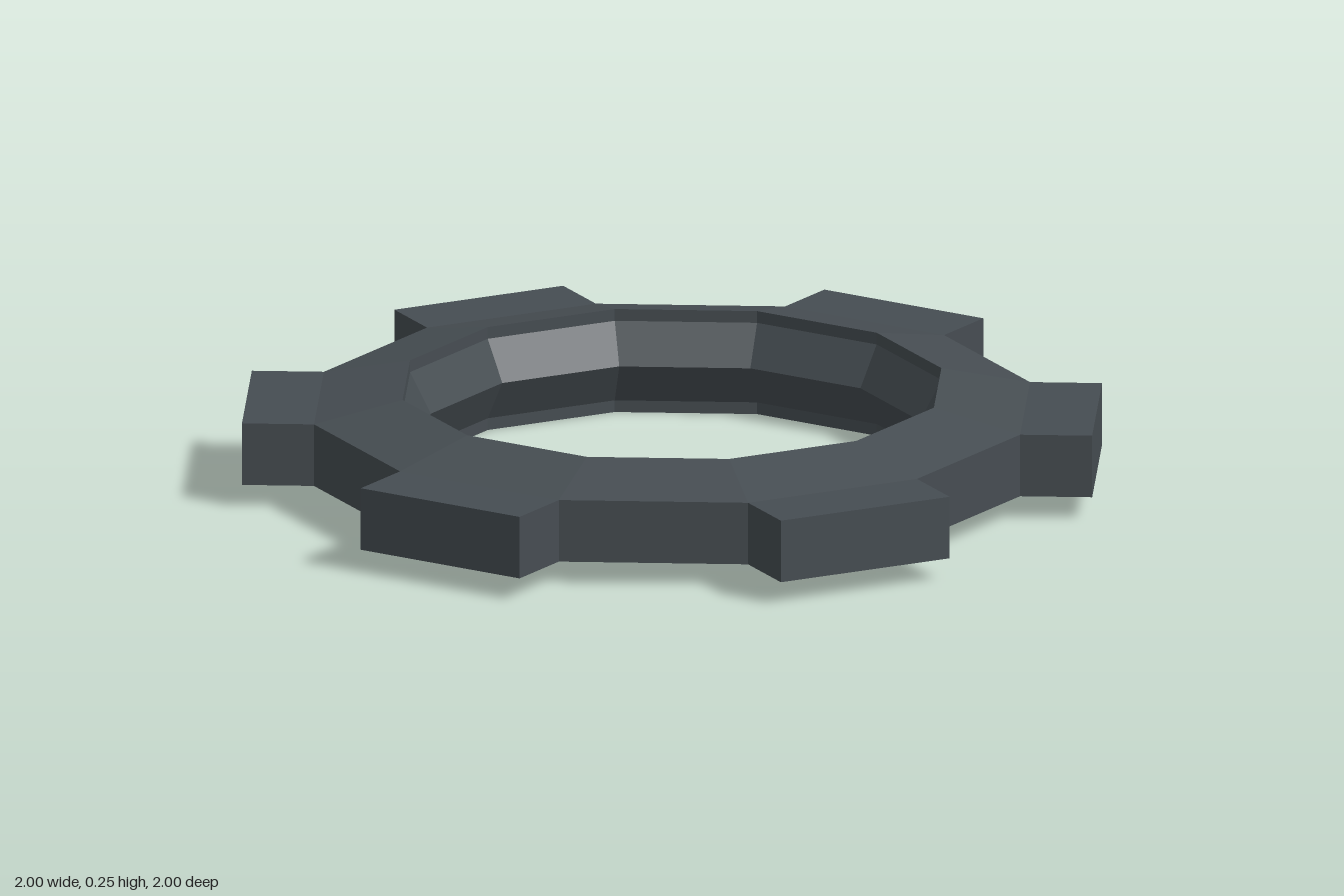
import * as THREE from 'three';

export function createModel() {
  const model = new THREE.Group();
  const gunmetal = new THREE.MeshStandardMaterial({ color: 0x464d52, flatShading: true });
  gunmetal.name = 'gunmetal';

  const sides = 12, outer = 0.84, lip = 0.632, bore = 0.582;
  const height = 0.246, low = 0.053, high = 0.2;

  // Twelve-sided ring: upright rim, sloping faces and a ridged bore
  const profile = [
    [outer, low], [outer, high], [lip, height], [lip, 0.218],
    [bore, height / 2], [lip, height - 0.218], [lip, 0], [outer, low],
  ].map(([r, y]) => new THREE.Vector2(r, y));
  const ring = new THREE.Mesh(new THREE.LatheGeometry(profile, sides), gunmetal);
  ring.name = 'ring';
  model.add(ring);

  // Square teeth on every other side of the rim
  const width = 2 * outer * Math.sin(Math.PI / sides);
  const apothem = outer * Math.cos(Math.PI / sides);
  const depth = 0.977 - apothem;
  const toothShape = new THREE.BoxGeometry(width, high - low, depth);
  for (let i = 0; i < sides / 2; i++) {
    const angle = (i * 4 - 1) * Math.PI / sides;
    const radius = apothem + depth / 2;
    const tooth = new THREE.Mesh(toothShape, gunmetal);
    tooth.name = 'tooth' + (i + 1);
    tooth.position.set(Math.sin(angle) * radius, (low + high) / 2, Math.cos(angle) * radius);
    tooth.rotation.y = angle;
    model.add(tooth);
  }
  return model;
}
